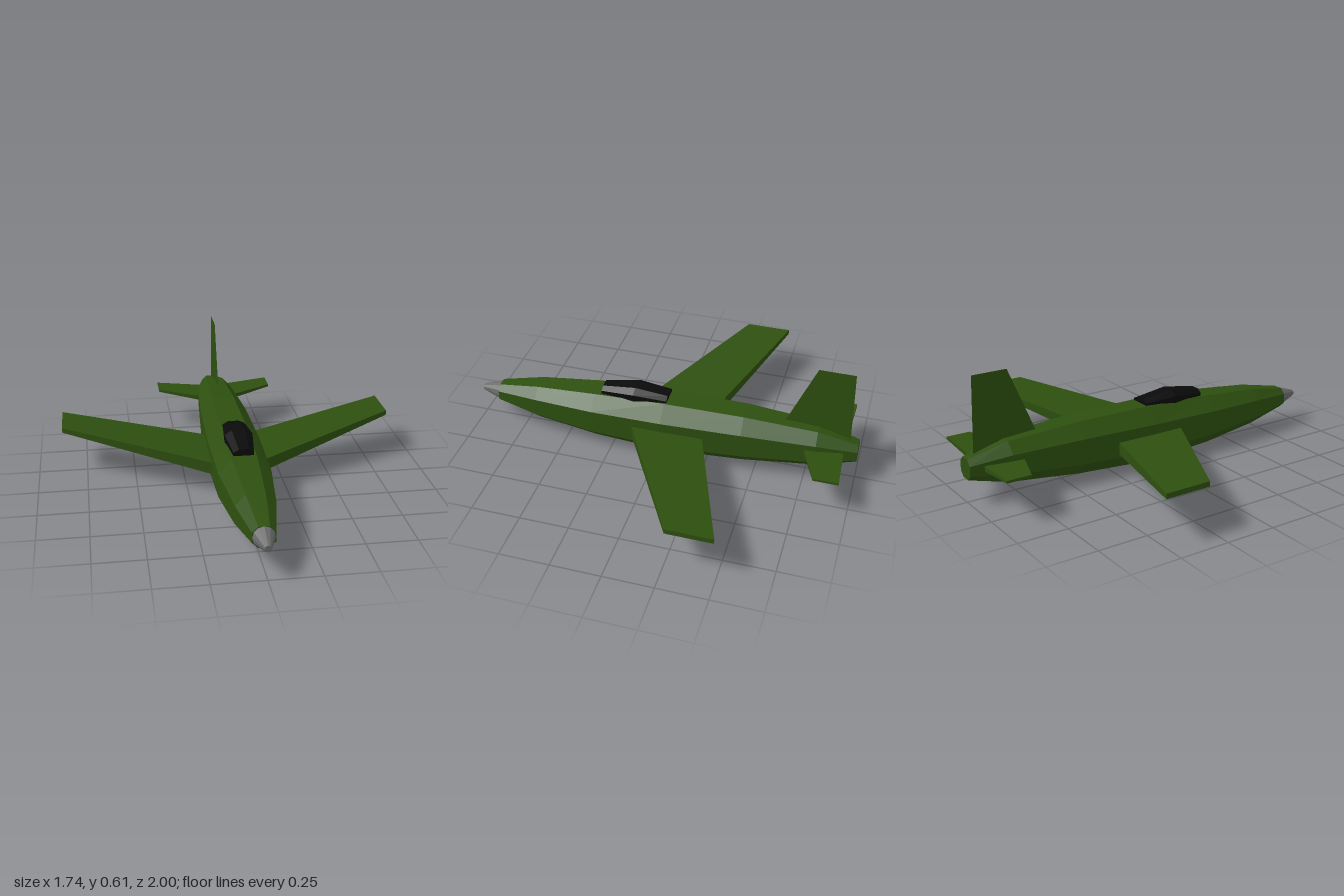
import * as THREE from 'three';

const green = new THREE.MeshStandardMaterial({ color: 0x2d4f0f, flatShading: true, name: 'olive green' });
const fin2Sided = new THREE.MeshStandardMaterial({ color: 0x2d4f0f, side: THREE.DoubleSide, name: 'olive green sheet' });
const black = new THREE.MeshStandardMaterial({ color: 0x0a0a0a, flatShading: true, name: 'canopy black' });
const grey = new THREE.MeshStandardMaterial({ color: 0x6a6a6a, flatShading: true, name: 'nose grey' });

// Joins cross-section rings into a closed solid. Rings run counter-clockwise
// as seen from the first end.
function loft(rings) {
  const pos = [];
  const tri = (...pts) => pts.forEach((p) => pos.push(...p));
  const n = rings[0].length;
  for (let r = 0; r < rings.length - 1; r++) {
    const a = rings[r], b = rings[r + 1];
    for (let i = 0; i < n; i++) {
      const j = (i + 1) % n;
      tri(a[i], b[i], b[j]);
      tri(a[i], b[j], a[j]);
    }
  }
  const first = rings[0], last = rings[rings.length - 1];
  for (let i = 1; i < n - 1; i++) {
    tri(first[0], first[i], first[i + 1]);
    tri(last[0], last[i + 1], last[i]);
  }
  const geo = new THREE.BufferGeometry();
  geo.setAttribute('position', new THREE.Float32BufferAttribute(pos, 3));
  geo.computeVertexNormals();
  return geo;
}

// Octagonal section with half width w between heights y0 and y1
function octagon(z, w, y0, y1, k = 0.48) {
  const c = (y0 + y1) / 2, h = (y1 - y0) / 2;
  return [[1, -k], [1, k], [k, 1], [-k, 1], [-1, k], [-1, -k], [-k, -1], [k, -1]]
    .map(([x, y]) => [x * w, c + y * h, z]);
}

// Tapered slab surface; each end is [x, lower y, upper y, trailing z, leading z]
function panel(tip, root, side) {
  const ring = ([x, yb, yt, zt, zl]) => {
    const pts = [[x, yb, zt], [x, yt, zt], [x, yt, zl], [x, yb, zl]].map(([a, b, c]) => [a * side, b, c]);
    return side < 0 ? pts.reverse() : pts;
  };
  return loft([ring(tip), ring(root)]);
}

export function createModel() {
  const model = new THREE.Group();
  model.name = 'jetPlane';
  const add = (name, geo, mat) => {
    const mesh = new THREE.Mesh(geo, mat);
    mesh.name = name;
    model.add(mesh);
    return mesh;
  };

  // Fuselage: z, half width, bottom, top
  add('fuselage', loft([
    [0.895, 0.054, 0.102, 0.205],
    [0.67, 0.096, 0.056, 0.249],
    [0.35, 0.129, 0.02, 0.28],
    [-0.02, 0.134, 0, 0.297],
    [-0.43, 0.123, 0.028, 0.297],
    [-0.8, 0.095, 0.07, 0.275],
    [-1, 0.051, 0.12, 0.222],
  ].map((s) => octagon(...s))), green);

  // Blunt nose cone
  const nose = add('noseCone', new THREE.CylinderGeometry(0.016, 0.053, 0.105, 12), grey);
  nose.rotation.x = Math.PI / 2;
  nose.position.set(0, 0.153, 0.9475);

  // Canopy
  add('canopy', loft([
    [0.315, 0.05, 0.255, 0.315],
    [0.14, 0.07, 0.255, 0.342],
    [-0.03, 0.056, 0.265, 0.322],
  ].map((s) => octagon(...s))), black);

  // Swept wings and tailplanes
  for (const [label, side] of [['left', 1], ['right', -1]]) {
    add(label + 'Wing', panel(
      [0.87, 0.215, 0.24, -0.485, -0.255],
      [0.11, 0.103, 0.167, -0.232, 0.142], side), green);
    add(label + 'Tailplane', panel(
      [0.32, 0.2, 0.212, -0.948, -0.825],
      [0.07, 0.165, 0.19, -0.935, -0.735], side), green);
  }

  // Tail fin: a thin upright sheet drawn in (z, y)
  const fin = new THREE.ShapeGeometry(new THREE.Shape([
    new THREE.Vector2(0.62, 0.26), new THREE.Vector2(0.957, 0.22),
    new THREE.Vector2(0.945, 0.61), new THREE.Vector2(0.767, 0.61),
  ]));
  add('tailFin', fin.rotateY(Math.PI / 2), fin2Sided);

  return model;
}
